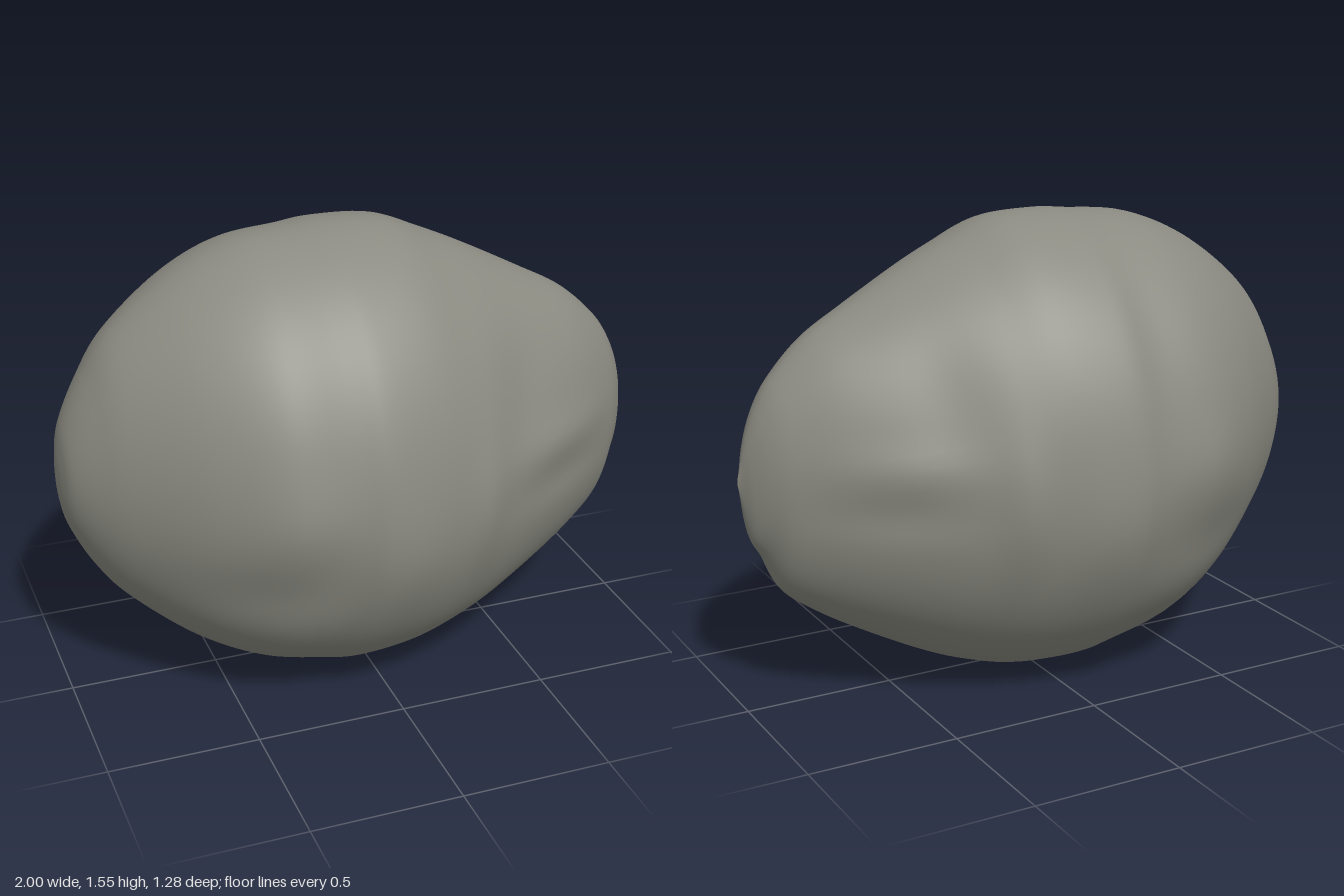
import * as THREE from 'three';

// Stations along the length: x, top y, bottom y, half width
const STATIONS = [
  [-1, 0.81, 0.79, 0], [-0.993, 0.9, 0.71, 0.06], [-0.97, 1.0, 0.62, 0.13], [-0.9, 1.14, 0.48, 0.22],
  [-0.8, 1.28, 0.35, 0.32], [-0.6, 1.43, 0.18, 0.49], [-0.4, 1.515, 0.075, 0.6],
  [-0.2, 1.54, 0.02, 0.618], [-0.08, 1.55, 0.005, 0.635], [0.1, 1.54, 0.012, 0.6],
  [0.25, 1.48, 0.05, 0.55], [0.4, 1.41, 0.11, 0.485], [0.6, 1.305, 0.215, 0.375],
  [0.75, 1.22, 0.305, 0.28], [0.87, 1.11, 0.4, 0.185], [0.93, 1.02, 0.52, 0.12],
  [0.97, 0.92, 0.6, 0.06], [1, 0.79, 0.77, 0],
];

// Soft bumps and hollows on both flanks: x, y, radius x, radius y, height
const BUMPS = [
  [0.27, 0.72, 0.07, 0.22, 0.02],
  [0.45, 1.08, 0.12, 0.2, -0.025],
  [0.6, 0.85, 0.2, 0.07, 0.018],
  [0.6, 0.7, 0.2, 0.06, -0.01],
  [-0.35, 0.8, 0.15, 0.12, 0.012],
  [-0.45, 0.52, 0.22, 0.13, -0.025],
  [0.0, 0.6, 0.15, 0.2, 0.015],
];

function bodyGeometry(rings, sides) {
  const heights = new THREE.CatmullRomCurve3(
    STATIONS.map(([x, t, b]) => new THREE.Vector3(x, t, b)), false, 'catmullrom', 0.5);
  const widths = new THREE.SplineCurve(STATIONS.map(([x, , , w]) => new THREE.Vector2(x, w)));
  const positions = [], index = [];

  for (let i = 0; i <= rings; i++) {
    const { x, y: top, z: bottom } = heights.getPoint(i / rings);
    const w = Math.max(0, widths.getPoint(i / rings).y);
    const mid = (top + bottom) / 2;
    for (let j = 0; j < sides; j++) {
      const a = (j / sides) * Math.PI * 2;
      const s = Math.sin(a), c = Math.cos(a);
      const y = mid + (top - bottom) / 2 * s;
      // Slightly pointed section leaves a soft keel all around the outline
      let z = w * Math.pow(Math.abs(c), s > 0 ? 1.07 : 1.12);
      for (const [bx, by, rx, ry, h] of BUMPS) {
        z += h * Math.abs(c) * Math.min(1, w * 4) * Math.exp(-(((x - bx) / rx) ** 2) - ((y - by) / ry) ** 2);
      }
      positions.push(x, y, Math.sign(c) * z);
    }
  }
  for (let i = 0; i < rings; i++) {
    for (let j = 0; j < sides; j++) {
      const k = (j + 1) % sides;
      const a = i * sides + j, b = a + sides, c = (i + 1) * sides + k, d = i * sides + k;
      index.push(a, b, c, a, c, d);
    }
  }
  const geometry = new THREE.BufferGeometry();
  geometry.setAttribute('position', new THREE.Float32BufferAttribute(positions, 3));
  geometry.setIndex(index);
  geometry.computeVertexNormals();
  return geometry;
}

export function createModel() {
  const stoneGrey = new THREE.MeshStandardMaterial({ color: 0x8b8b82 });
  stoneGrey.name = 'stoneGrey';

  const group = new THREE.Group();
  group.name = 'stone';
  const body = new THREE.Mesh(bodyGeometry(136, 96), stoneGrey);
  body.name = 'stoneBody';
  group.add(body);
  return group;
}
